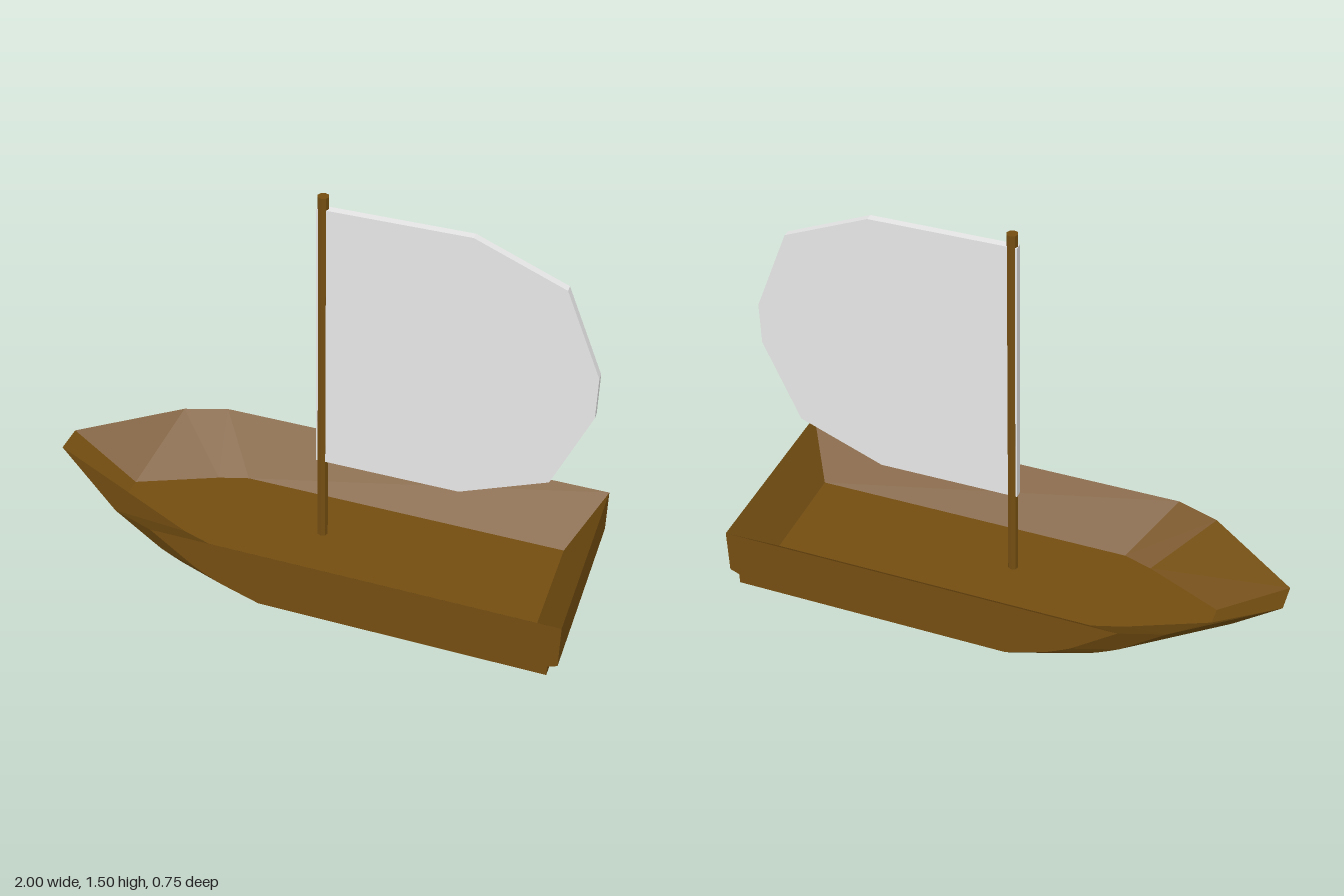
import * as THREE from 'three';

const wood = new THREE.MeshStandardMaterial({ color: 0x744e11, flatShading: true });
wood.name = 'brown wood';
const cloth = new THREE.MeshStandardMaterial({ color: 0xf2f2f2, flatShading: true });
cloth.name = 'white sailcloth';

// Mirror a half outline [x, z] (bow to stern) into a closed ring at height y
function ring(half, y) {
  const left = half.map(([x, z]) => new THREE.Vector3(x, y, z));
  const right = half.map(([x, z]) => new THREE.Vector3(x, y, -z)).reverse();
  return [...left, ...right];
}

// Join the rings with quads and close the first and last with fans
function loft(rings) {
  const pos = [];
  const tri = (...pts) => pts.forEach((p) => pos.push(p.x, p.y, p.z));
  const n = rings[0].length;
  for (let r = 0; r < rings.length - 1; r++) {
    const a = rings[r], b = rings[r + 1];
    for (let i = 0; i < n; i++) {
      const j = (i + 1) % n;
      tri(a[i], a[j], b[j]);
      tri(a[i], b[j], b[i]);
    }
  }
  const first = rings[0], last = rings[rings.length - 1];
  for (let i = 1; i < n - 1; i++) {
    tri(first[0], first[i + 1], first[i]);
    tri(last[0], last[i], last[i + 1]);
  }
  const geo = new THREE.BufferGeometry();
  geo.setAttribute('position', new THREE.Float32BufferAttribute(pos, 3));
  geo.computeVertexNormals();
  return geo;
}

function add(group, name, geo, mat) {
  const mesh = new THREE.Mesh(geo, mat);
  mesh.name = name;
  group.add(mesh);
  return mesh;
}

export function createModel() {
  const boat = new THREE.Group();
  boat.name = 'sailboat';

  // Hull: each level is [height, bow set-back, stern x], with a stepped stern
  const levels = [
    [0, 0.41, 0.965], [0.04, 0.295, 0.965], [0.055, 0.255, 1],
    [0.075, 0.215, 1], [0.1, 0.17, 1], [0.23, 0, 1],
  ];
  const rings = levels.map(([y, back, stern]) => ring([
    [-1 + back, 0.055], [-0.66 + back, 0.32], [-0.5 + back, 0.375], [stern, 0.375],
  ], y));
  // Sloping inner walls run from the sharp rim down to the floor
  rings.push(ring([[-0.75, 0.035], [-0.46, 0.165], [-0.35, 0.2], [0.885, 0.2]], 0.06));
  add(boat, 'hull', loft(rings), wood);

  // Mast
  const mast = add(boat, 'mast', new THREE.CylinderGeometry(0.02, 0.02, 1.44, 8), wood);
  mast.position.set(0.021, 0.78, 0);

  // Sail: a thick plate that passes through the mast
  const outline = [
    [0, 0.41], [0.53, 0.41], [0.845, 0.54], [0.975, 0.85],
    [0.975, 1.01], [0.845, 1.325], [0.53, 1.455], [0, 1.455],
  ];
  const shape = new THREE.Shape(outline.map(([x, y]) => new THREE.Vector2(x, y)));
  const sail = add(boat, 'sail', new THREE.ExtrudeGeometry(shape, { depth: 0.028, bevelEnabled: false }), cloth);
  sail.position.z = -0.014;

  return boat;
}
